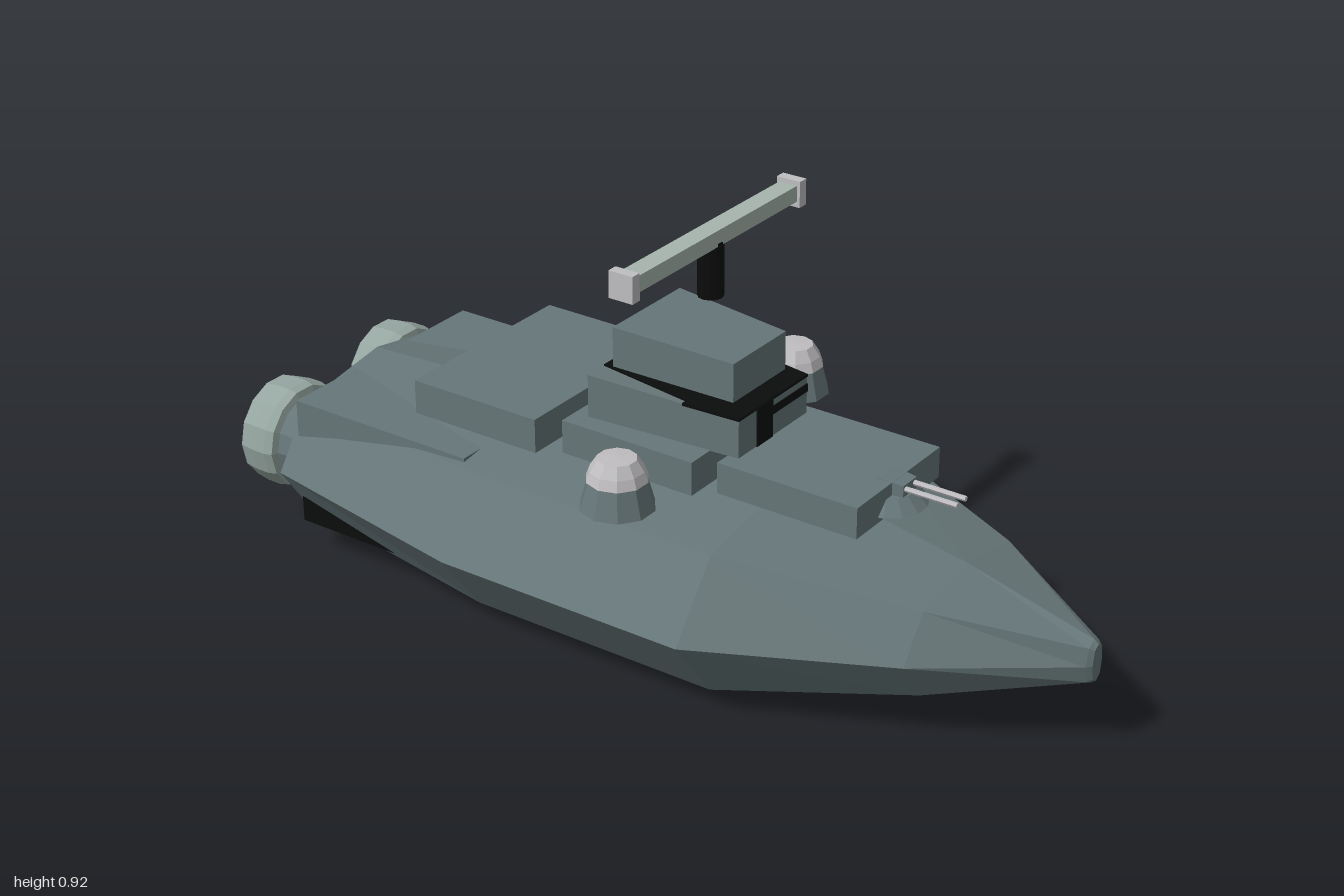
import * as THREE from 'three';

const mat = (name, color) => Object.assign(new THREE.MeshStandardMaterial({ color }), { name });

export function createModel() {
  const model = new THREE.Group();
  model.name = 'patrolShip';
  const hullGrey = mat('hull grey', 0x667678);
  const black = mat('black', 0x0b0c0c);
  const paleGreen = mat('pale green grey', 0xa6b5ad);
  const nozzleGrey = mat('nozzle grey', 0x95a5a0);
  const lightGrey = mat('light grey', 0xbfbdc0);
  const coreGrey = mat('engine core grey', 0x858588);

  // Faceted mesh
  function add(name, geometry, material, x = 0, y = 0, z = 0) {
    const flat = geometry.index ? geometry.toNonIndexed() : geometry;
    flat.computeVertexNormals();
    const mesh = new THREE.Mesh(flat, material);
    mesh.name = name;
    mesh.position.set(x, y, z);
    model.add(mesh);
    return mesh;
  }

  // Box given by its limits; the front end can narrow and its top or bottom drop
  function block(name, material, [x0, x1], [y0, y1], [z0, z1], { front = 1, dropTop = 0, dropBase = 0 } = {}) {
    const g = new THREE.BoxGeometry(x1 - x0, y1 - y0, z1 - z0);
    const p = g.attributes.position;
    for (let i = 0; i < p.count; i++) {
      if (p.getX(i) < 0) continue;
      p.setZ(i, p.getZ(i) * front);
      p.setY(i, p.getY(i) - (p.getY(i) > 0 ? dropTop : dropBase));
    }
    return add(name, g, material, (x0 + x1) / 2, (y0 + y1) / 2, (z0 + z1) / 2);
  }

  // Hull: eight-sided sections [x, centre y, half height, half width]
  const stations = [
    [-0.85, 0.212, 0.177, 0.34], [-0.31, 0.207, 0.205, 0.435], [0.29, 0.207, 0.205, 0.435],
    [0.7, 0.21, 0.126, 0.24], [0.99, 0.21, 0.05, 0.03], [1.0, 0.21, 0.042, 0.02],
  ];
  const section = [[1, 0], [0.72, 0.77], [0, 1], [-0.72, 0.77], [-1, 0], [-0.72, -0.77], [0, -1], [0.72, -0.77]];
  const n = section.length, last = (stations.length - 1) * n;
  const verts = [], faces = [];
  for (const [x, cy, h, w] of stations) for (const [z, y] of section) verts.push(x, cy + y * h, z * w);
  for (let i = 0; i < last; i += n) {
    for (let j = 0; j < n; j++) {
      const k = (j + 1) % n;
      faces.push(i + j, i + n + j, i + k, i + k, i + n + j, i + n + k);
    }
  }
  for (let j = 1; j < n - 1; j++) faces.push(0, j, j + 1, last, last + j + 1, last + j);
  const hull = new THREE.BufferGeometry();
  hull.setAttribute('position', new THREE.Float32BufferAttribute(verts, 3));
  hull.setIndex(faces);
  add('hull', hull, hullGrey);

  // Stern fairings that break through the hull corners
  block('upperSternFairing', hullGrey, [-0.835, -0.36], [0.2, 0.375], [-0.29, 0.29]);
  block('lowerSternFairing', black, [-0.835, -0.5], [0.075, 0.2], [-0.29, 0.29]);

  // Deck blocks and bridge
  block('rearDeckhouse', hullGrey, [-0.535, -0.21], [0.41, 0.488], [-0.238, 0.235]);
  block('bridgeBase', hullGrey, [-0.165, 0.165], [0.41, 0.486], [-0.2, 0.2]);
  block('foreDeckhouse', hullGrey, [0.2, 0.535], [0.41, 0.48], [-0.16, 0.16]);
  block('bridge', hullGrey, [-0.13, 0.23], [0.484, 0.583], [-0.155, 0.155], { front: 0.82, dropTop: 0.013 });
  block('bridgeRoof', hullGrey, [-0.09, 0.195], [0.6, 0.69], [-0.12, 0.12], { front: 0.8, dropTop: 0.015, dropBase: 0.012 });

  // Dark plates on the bridge top and front
  block('bridgeRearGlass', black, [-0.129, 0.1], [0.58, 0.586], [-0.1, 0.1], { front: 1.25, dropTop: 0.008, dropBase: 0.008 });
  block('bridgeForeGlass', black, [0.1, 0.231], [0.573, 0.579], [-0.142, 0.142], { front: 0.9, dropTop: 0.005, dropBase: 0.005 });
  block('bridgeDoor', black, [0.228, 0.233], [0.484, 0.572], [0.005, 0.062]);
  block('bridgeWindow', black, [0.228, 0.233], [0.535, 0.553], [-0.126, 0.005]);

  // Sensor domes
  for (const side of [-1, 1]) {
    const base = [[0, 0], [0.08, 0], [0.062, 0.065], [0, 0.065]];
    const cap = [[0, 0.06], [0.066, 0.063], [0.058, 0.085], [0.042, 0.11], [0, 0.112]];
    for (const [name, pts, m] of [['domeBase', base, hullGrey], ['domeCap', cap, lightGrey]]) {
      add(name, new THREE.LatheGeometry(pts.map(p => new THREE.Vector2(...p)), 10), m, 0.07, 0.414, side * 0.325);
    }
  }

  // Radar mast and crossbar
  add('radarMast', new THREE.CylinderGeometry(0.028, 0.028, 0.115, 12), black, 0.072, 0.818, 0);
  block('radarBar', paleGreen, [0.05, 0.094], [0.875, 0.911], [-0.29, 0.29]);
  block('radarPivot', black, [0.09, 0.097], [0.87, 0.882], [-0.007, 0.007]);
  for (const side of [-1, 1]) {
    const end = block('radarBarEnd', lightGrey, [0.043, 0.101], [0.862, 0.921], [-0.012, 0.012]);
    end.position.z = side * 0.298;
  }

  // Twin bow gun
  add('gunRing', new THREE.CylinderGeometry(0.055, 0.085, 0.028, 14), hullGrey, 0.51, 0.437, 0);
  block('gunHousing', hullGrey, [0.5, 0.56], [0.452, 0.482], [-0.032, 0.032], { front: 0.8, dropTop: 0.004 });
  for (const side of [-1, 1]) {
    const barrel = new THREE.CylinderGeometry(0.006, 0.006, 0.16, 6).rotateZ(Math.PI / 2);
    add('gunBarrel', barrel, lightGrey, 0.6, 0.468, side * 0.017);
  }

  // Twin engines: profiles are [radius, distance aft]
  const necks = [[0.1, 0.8], [0.104, 0.91]];
  const nozzle = [[0.104, 0.905], [0.12, 0.91], [0.125, 0.93], [0.125, 0.965], [0.12, 1.0], [0.1, 1.0]];
  const throat = [[0.1, 1.0], [0.094, 0.93]];
  for (const side of [-1, 1]) {
    for (const [name, pts, m] of [['engineNeck', necks, hullGrey], ['engineNozzle', nozzle, nozzleGrey], ['engineThroat', throat, black]]) {
      const g = new THREE.LatheGeometry(pts.map(p => new THREE.Vector2(...p)), 14).rotateZ(Math.PI / 2);
      add(name, g, m, 0, 0.222, side * 0.183);
    }
    add('engineCore', new THREE.CircleGeometry(0.095, 14).rotateY(-Math.PI / 2), coreGrey, -0.935, 0.222, side * 0.183);
  }
  return model;
}
